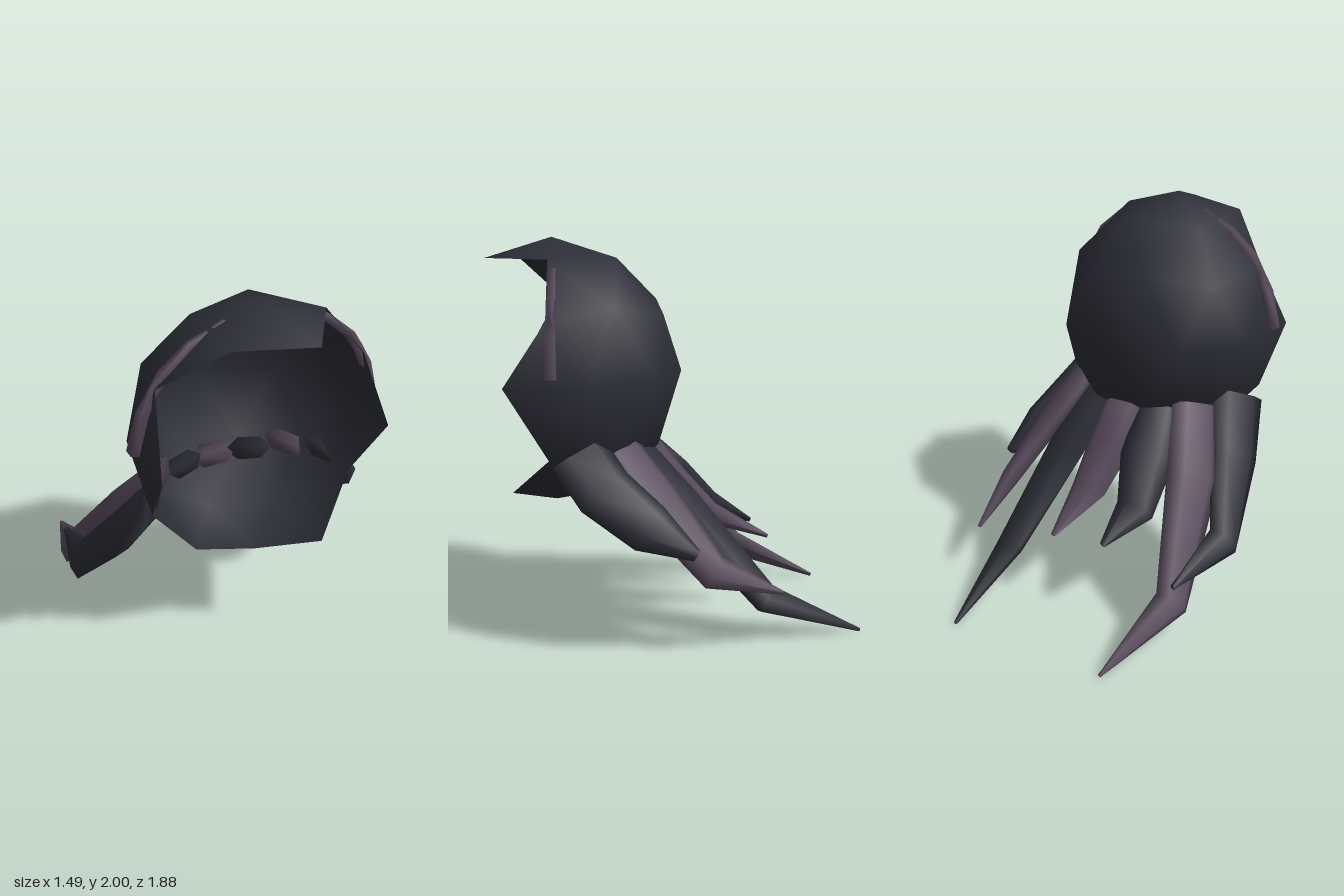
import * as THREE from 'three';

const dark = new THREE.MeshStandardMaterial({ color: 0x2d2e37, side: THREE.DoubleSide });
dark.name = 'charcoal';
const purple = new THREE.MeshStandardMaterial({ color: 0x574a5b, side: THREE.DoubleSide });
purple.name = 'dusty purple';

// Loft elliptical rings along a path; each row is [x, y, z, width, thickness].
// `facing` is the direction the thin side of the strand points to.
function loft(rows, facing, sides, phase = 0) {
  const centres = rows.map(r => new THREE.Vector3(r[0], r[1], r[2]));
  const pos = [], index = [];
  rows.forEach((r, i) => {
    const t = centres[Math.min(i + 1, rows.length - 1)].clone()
      .sub(centres[Math.max(i - 1, 0)]).normalize();
    const n = facing.clone().addScaledVector(t, -facing.dot(t)).normalize();
    const w = n.clone().cross(t);
    for (let k = 0; k < sides; k++) {
      const a = phase + (k / sides) * Math.PI * 2;
      const p = centres[i].clone()
        .addScaledVector(w, Math.cos(a) * r[3] / 2)
        .addScaledVector(n, Math.sin(a) * r[4] / 2);
      pos.push(p.x, p.y, p.z);
    }
  });
  for (let i = 0; i < rows.length - 1; i++) {
    for (let k = 0; k < sides; k++) {
      const a = i * sides + k, b = i * sides + (k + 1) % sides;
      index.push(a, b, a + sides, b, b + sides, a + sides);
    }
  }
  // End caps
  const last = (rows.length - 1) * sides;
  for (let k = 1; k < sides - 1; k++) {
    index.push(0, k + 1, k, last, last + k, last + k + 1);
  }
  const g = new THREE.BufferGeometry();
  g.setAttribute('position', new THREE.Float32BufferAttribute(pos, 3));
  g.setIndex(index);
  g.computeVertexNormals();
  return g;
}

// Low-poly ball standing on a corner, with the face opening cut away
function shellGeometry() {
  const ball = new THREE.IcosahedronGeometry(1, 1);
  ball.rotateZ(Math.atan2(1, (1 + Math.sqrt(5)) / 2));
  ball.rotateY(Math.PI);
  const p = ball.attributes.position, pos = [], nor = [];
  for (let i = 0; i < p.count; i += 3) {
    const tri = [0, 1, 2].map(k => new THREE.Vector3().fromBufferAttribute(p, i + k));
    if (tri.some(v => v.z > 0.4 && v.y < 0.8)) continue;
    for (const v of tri) {
      pos.push(v.x, v.y, v.z);
      nor.push(v.x, v.y, v.z);
    }
  }
  const g = new THREE.BufferGeometry();
  g.setAttribute('position', new THREE.Float32BufferAttribute(pos, 3));
  g.setAttribute('normal', new THREE.Float32BufferAttribute(nor, 3));
  g.scale(0.61, 0.675, 0.65);
  g.translate(0.035, 1.325, 0.62);
  return g;
}

// Strands around the nape: azimuth in degrees from the front, then path rows
const LOCKS = [
  ['leftSideLock', dark, 122, [
    [0.53, 1.0, 0.48, 0.31, 0.1], [0.6, 0.83, 0.36, 0.3, 0.14],
    [0.67, 0.67, 0.15, 0.25, 0.12], [0.69, 0.54, -0.07, 0.06, 0.05]]],
  ['leftRearLock', purple, 132, [
    [0.4, 0.98, 0.28, 0.26, 0.12], [0.51, 0.74, 0.1, 0.28, 0.14],
    [0.62, 0.43, -0.16, 0.18, 0.11], [0.55, 0.3, -0.5, 0.02, 0.02]]],
  ['leftLongLock', dark, 160, [
    [0.22, 0.96, 0.2, 0.23, 0.12], [0.3, 0.68, -0.03, 0.3, 0.15],
    [0.385, 0.21, -0.44, 0.21, 0.12], [0.335, 0.012, -0.935, 0.02, 0.02]]],
  ['centreLock', purple, 180, [
    [0.035, 0.955, 0.16, 0.26, 0.13], [0.035, 0.75, 0.0, 0.27, 0.14],
    [0.035, 0.56, -0.19, 0.21, 0.11], [0.035, 0.43, -0.49, 0.03, 0.02]]],
  ['rightShortLock', dark, 200, [
    [-0.15, 0.96, 0.2, 0.23, 0.12], [-0.21, 0.75, 0.0, 0.29, 0.15],
    [-0.265, 0.54, -0.19, 0.2, 0.13], [-0.235, 0.44, -0.43, 0.03, 0.02]]],
  ['rightLongLock', purple, 228, [
    [-0.33, 0.98, 0.27, 0.26, 0.12], [-0.46, 0.68, 0.05, 0.29, 0.15],
    [-0.605, 0.2, -0.35, 0.2, 0.12], [-0.515, 0.015, -0.83, 0.02, 0.02]]],
  ['rightSideLock', dark, 238, [
    [-0.46, 1.0, 0.48, 0.31, 0.1], [-0.55, 0.73, 0.3, 0.3, 0.14],
    [-0.675, 0.4, 0.02, 0.22, 0.12], [-0.625, 0.31, -0.37, 0.03, 0.03]]],
];

// Half of the band: [x, y, depth], broad at the end and pinched on the way up
const BAND = [[0.622, 1.37, 0.075], [0.572, 1.56, 0.07], [0.525, 1.65, 0.03],
  [0.47, 1.73, 0.06], [0.34, 1.84, 0.045], [0.18, 1.91, 0.03]];

export function createModel() {
  const model = new THREE.Group();
  model.name = 'hairpiece';

  const add = (name, geometry, material) => {
    const mesh = new THREE.Mesh(geometry, material);
    mesh.name = name;
    model.add(mesh);
  };

  add('hairShell', shellGeometry(), dark);

  for (const [name, material, deg, rows] of LOCKS) {
    const a = THREE.MathUtils.degToRad(deg);
    add(name, loft(rows, new THREE.Vector3(Math.sin(a), 0.1, Math.cos(a)), 6), material);
  }

  // Thin band arching over the opening, mirrored from one half
  const arc = [...BAND, [0, 1.925, 0.03], ...BAND.map(([x, y, d]) => [-x, y, d]).reverse()];
  const band = arc.map(([x, y, d]) => [x + 0.035, y, 0.597, 0.06, d]);
  add('headband', loft(band, new THREE.Vector3(0, 0, 1), 4, Math.PI / 4), purple);

  return model;
}
